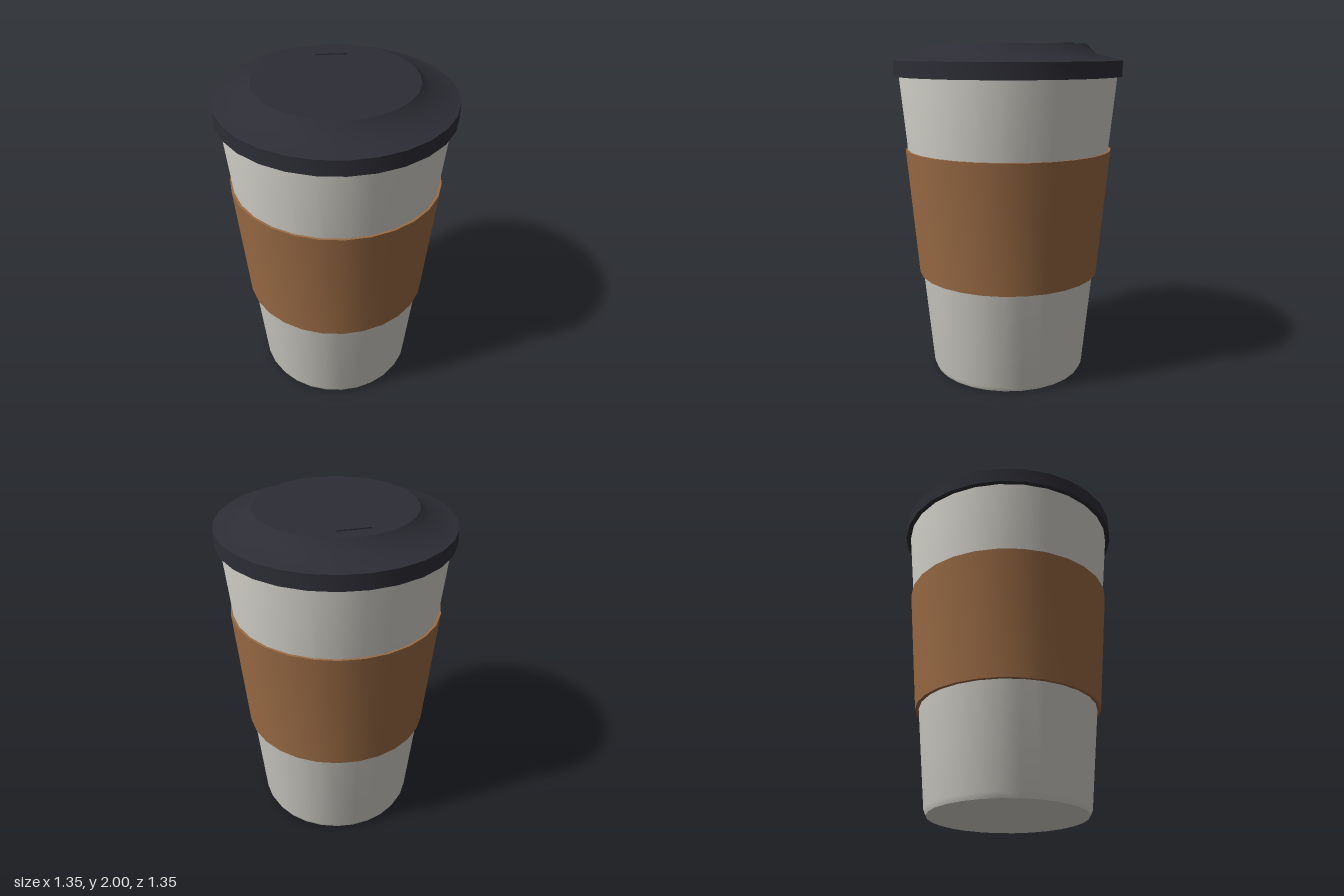
import * as THREE from 'three';
import { toCreasedNormals } from 'three/addons/utils/BufferGeometryUtils.js';

const SEGMENTS = 28;

function material(name, color) {
  const m = new THREE.MeshStandardMaterial({ color });
  m.name = name;
  return m;
}

// Revolve a [radius, height] profile, smooth around and sharp at the rims
function turned(name, profile, mat) {
  const points = profile.map(([r, y]) => new THREE.Vector2(r, y));
  const geometry = toCreasedNormals(new THREE.LatheGeometry(points, SEGMENTS), 0.62);
  const mesh = new THREE.Mesh(geometry, mat);
  mesh.name = name;
  return mesh;
}

export function createModel() {
  const group = new THREE.Group();
  group.name = 'travelCup';
  const ceramic = material('warm white', 0xd9d7cf);
  const cork = material('brown', 0x9a6b45);
  const rubber = material('charcoal', 0x2d2d36);

  // Tapered cup with a small bevel at the foot
  group.add(turned('cup', [[0, 0], [0.46, 0], [0.474, 0.03], [0.648, 1.84]], ceramic));

  // Heat sleeve: closed band around the cup
  group.add(turned('sleeve', [
    [0.525, 0.62], [0.552, 0.62], [0.618, 1.38], [0.598, 1.38],
  ], cork));

  // Lid: overhanging rim, shallow shoulder and raised flat top
  group.add(turned('lid', [
    [0.63, 1.81], [0.674, 1.81], [0.674, 1.9], [0.52, 1.935], [0.46, 1.993], [0, 1.993],
  ], rubber));

  // Sip opening cover, near the back of the lid
  const sip = new THREE.Mesh(new THREE.BoxGeometry(0.185, 0.009, 0.06), rubber);
  sip.name = 'sipOpening';
  sip.position.set(0, 1.9955, -0.34);
  group.add(sip);

  return group;
}
